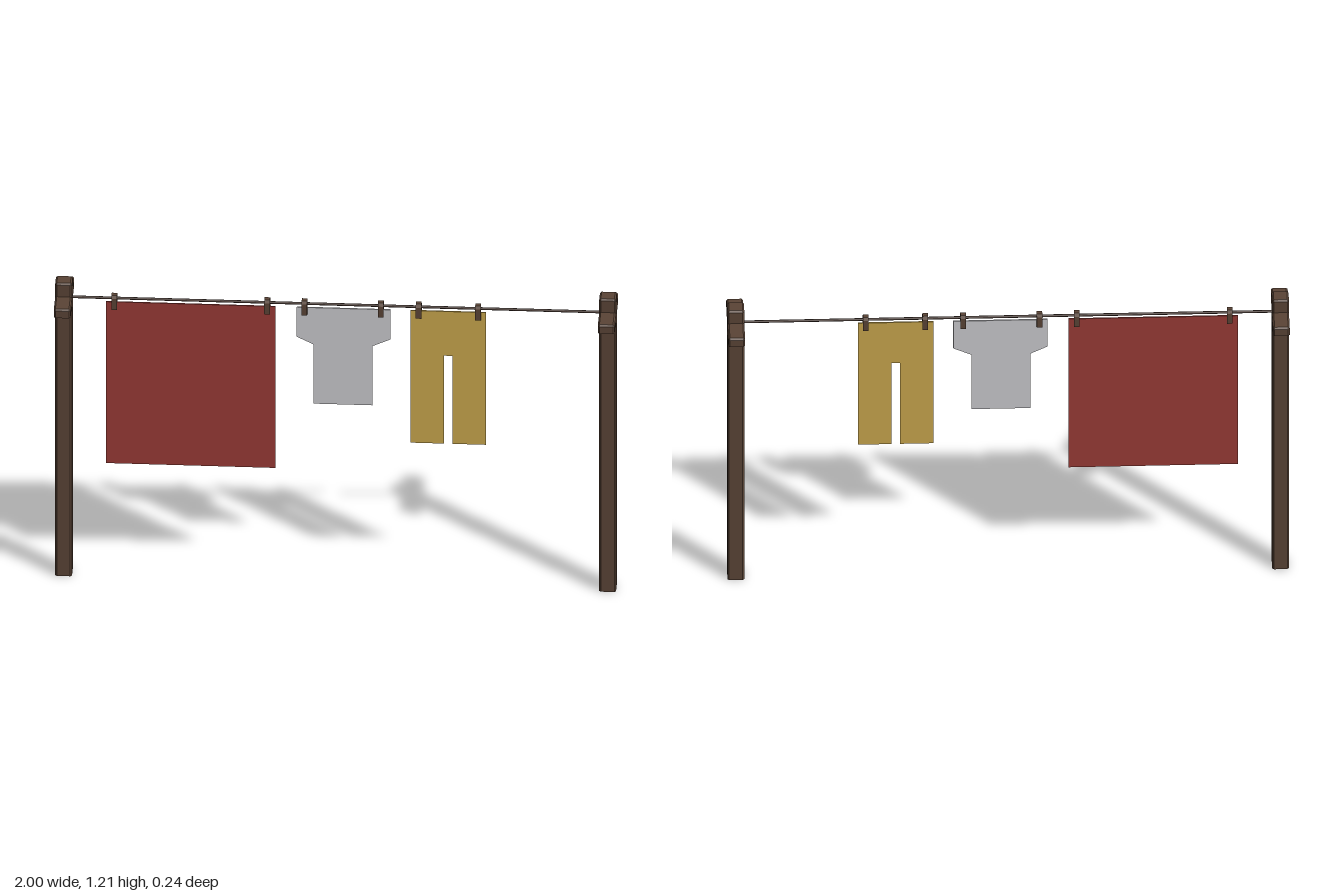
import * as THREE from 'three';
import { ConvexGeometry } from 'three/addons/geometries/ConvexGeometry.js';

const mat = (name, color) => Object.assign(new THREE.MeshStandardMaterial({ color }), { name });

// Block standing on y = 0 with chamfered upright edges and a chamfered top
function chamferBlock(w, h, d, c) {
  const points = [];
  for (const sx of [-1, 1]) for (const sz of [-1, 1]) {
    const x = w / 2, z = d / 2;
    for (const y of [0, h - c]) {
      points.push(new THREE.Vector3(sx * x, y, sz * (z - c)), new THREE.Vector3(sx * (x - c), y, sz * z));
    }
    points.push(new THREE.Vector3(sx * (x - c), h, sz * (z - c)));
  }
  return new ConvexGeometry(points);
}

// Flat outline extruded evenly about z = 0
function slab(outline, depth) {
  const shape = new THREE.Shape(outline.map(([x, y]) => new THREE.Vector2(x, y)));
  return new THREE.ExtrudeGeometry(shape, { depth, bevelEnabled: false }).translate(0, 0, -depth / 2);
}

export function createModel() {
  const model = new THREE.Group();
  model.name = 'clothesline';
  const wood = mat('brown wood', 0x5a4436);
  const cord = mat('dark cord', 0x43322a);
  const red = mat('red cloth', 0x9a3b36);
  const grey = mat('pale grey cloth', 0xcacace);
  const yellow = mat('mustard cloth', 0xc9a74d);

  const add = (name, geometry, material, x = 0, y = 0, parent = model) => {
    const mesh = new THREE.Mesh(geometry, material);
    mesh.name = name;
    mesh.position.set(x, y, 0);
    parent.add(mesh);
    return mesh;
  };

  // Posts with crossbars
  const postGeo = chamferBlock(0.06, 1.21, 0.06, 0.006);
  const barGeo = chamferBlock(0.06, 0.035, 0.24, 0.006);
  for (const [side, x] of [['left', 0.97], ['right', -0.97]]) {
    const group = new THREE.Group();
    group.name = side + 'Support';
    add('post', postGeo, wood, x, 0, group);
    add('crossbar', barGeo, wood, x, 1.121, group);
    model.add(group);
  }

  // Line strung between the posts
  add('line', new THREE.CylinderGeometry(0.005, 0.005, 1.9, 8).rotateZ(Math.PI / 2), cord, 0, 1.14);

  // Laundry
  add('sheet', slab([[-0.82, 0.457], [-0.215, 0.457], [-0.215, 1.125], [-0.82, 1.125]], 0.005), red);
  add('shirt', slab([
    [-0.08, 0.728], [0.13, 0.728], [0.13, 0.973], [0.195, 1.003],
    [0.195, 1.125], [-0.14, 1.125], [-0.14, 1.003], [-0.08, 0.973],
  ], 0.005), grey);
  add('trousers', slab([
    [0.265, 0.578], [0.385, 0.578], [0.385, 0.942], [0.415, 0.942],
    [0.415, 0.578], [0.535, 0.578], [0.535, 1.125], [0.265, 1.125],
  ], 0.005), yellow);

  // Split pegs, open at the bottom and gripping the line
  const pegGeo = slab([
    [-0.016, 1.1], [-0.004, 1.1], [-0.004, 1.135], [0.004, 1.135], [0.004, 1.1],
    [0.016, 1.1], [0.016, 1.145], [0.009, 1.156], [-0.009, 1.156], [-0.016, 1.145],
  ], 0.02).rotateY(Math.PI / 2);
  for (const x of [-0.79, -0.245, -0.112, 0.16, 0.295, 0.507]) add('peg', pegGeo, wood, x);

  return model;
}
